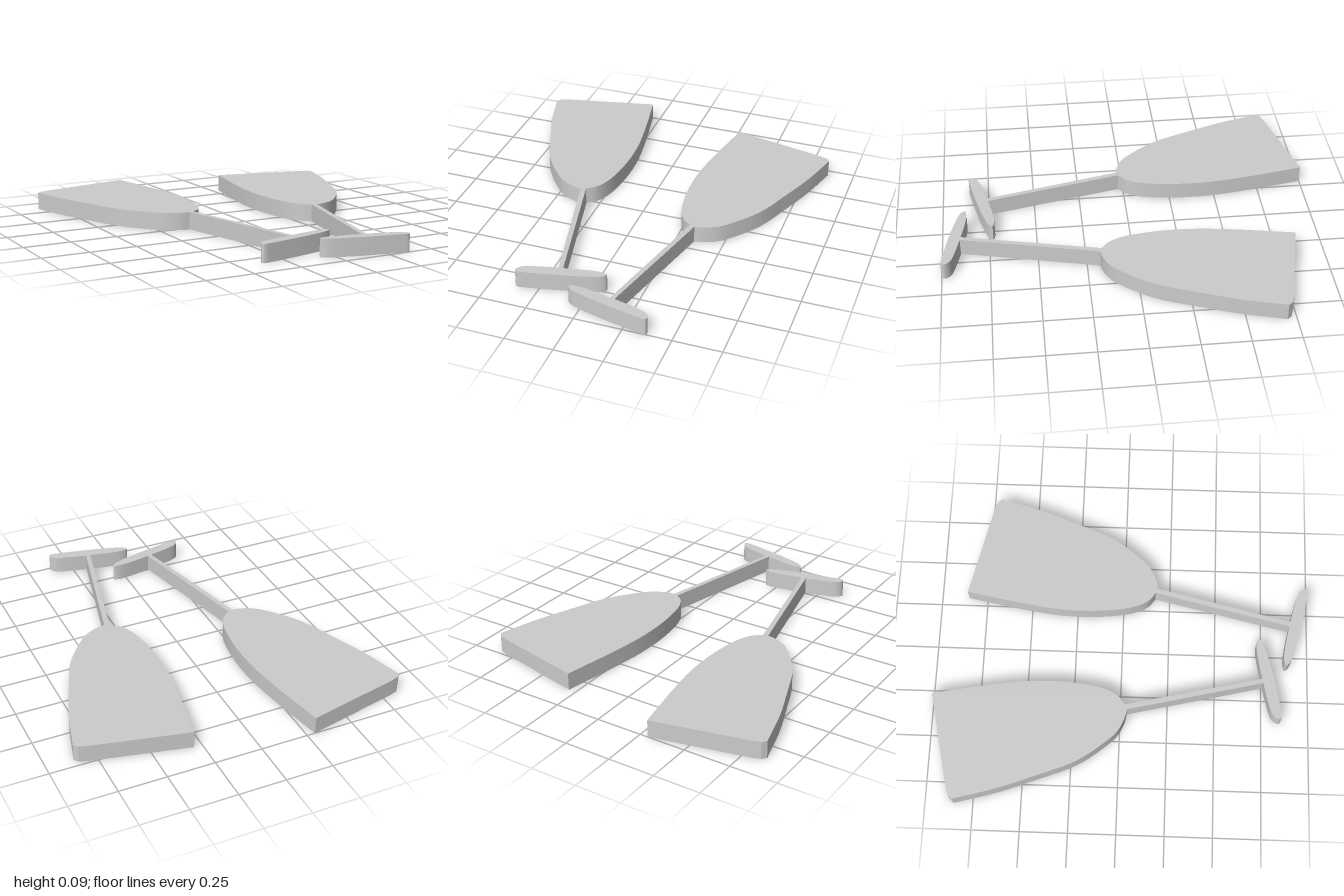
import * as THREE from 'three';
import { toCreasedNormals } from 'three/addons/utils/BufferGeometryUtils.js';

const THICKNESS = 0.093;
const material = new THREE.MeshStandardMaterial({ color: 0xcccccc });

// Plan outlines of one glass, as [x, z]
const bowlLeft = [[-0.86, -0.85], [-0.795, -0.62], [-0.72, -0.42], [-0.637, -0.22], [-0.537, -0.08],
  [-0.468, -0.01], [-0.394, 0.026], [-0.345, 0.035]];
const bowlRight = [[-0.325, 0.028], [-0.272, -0.016], [-0.235, -0.095], [-0.214, -0.21], [-0.204, -0.34],
  [-0.209, -0.5], [-0.235, -0.69], [-0.293, -1.0]];
const rim = [[-0.793, -0.888], [-0.842, -0.872]];
const stemOutline = [[-0.35, 0.025], [-0.322, 0.02], [-0.151, 0.757], [-0.175, 0.762]];
const footOutline = [[-0.373, 0.838], [-0.352, 0.806], [-0.262, 0.776], [-0.167, 0.754], [-0.05, 0.73],
  [0.04, 0.72], [0.073, 0.73], [0.055, 0.752], [-0.05, 0.788], [-0.183, 0.82], [-0.315, 0.847], [-0.365, 0.853]];

const toVectors = (points) => points.map(([x, z]) => new THREE.Vector2(x, -z));
const smooth = (points, closed = false) => {
  const curve = new THREE.CatmullRomCurve3(
    points.map(([x, z]) => new THREE.Vector3(x, -z, 0)), closed, 'centripetal');
  const samples = curve.getPoints(40).map((p) => new THREE.Vector2(p.x, p.y));
  if (closed) samples.pop();
  return samples;
};

// Extrudes a plan outline upward from the ground; side = -1 mirrors it
function slab(name, outline, side) {
  const shape = new THREE.Shape(outline.map((p) => new THREE.Vector2(p.x * side, p.y)));
  const geometry = new THREE.ExtrudeGeometry(shape, { depth: THICKNESS, bevelEnabled: false });
  geometry.rotateX(-Math.PI / 2);
  const mesh = new THREE.Mesh(toCreasedNormals(geometry, 0.5), material);
  mesh.name = name;
  return mesh;
}

function glass(name, side, offsetZ) {
  const group = new THREE.Group();
  group.name = name;
  group.add(
    slab('bowl', [...smooth(bowlLeft), ...smooth(bowlRight), ...toVectors(rim)], side),
    slab('stem', toVectors(stemOutline), side),
    slab('foot', smooth(footOutline, true), side),
  );
  group.position.z = offsetZ;
  return group;
}

export function createModel() {
  const model = new THREE.Group();
  model.name = 'champagneGlasses';
  // The second glass is the mirrored first one, shifted forward
  model.add(glass('rightGlass', 1, 0), glass('leftGlass', -1, 0.147));
  return model;
}
